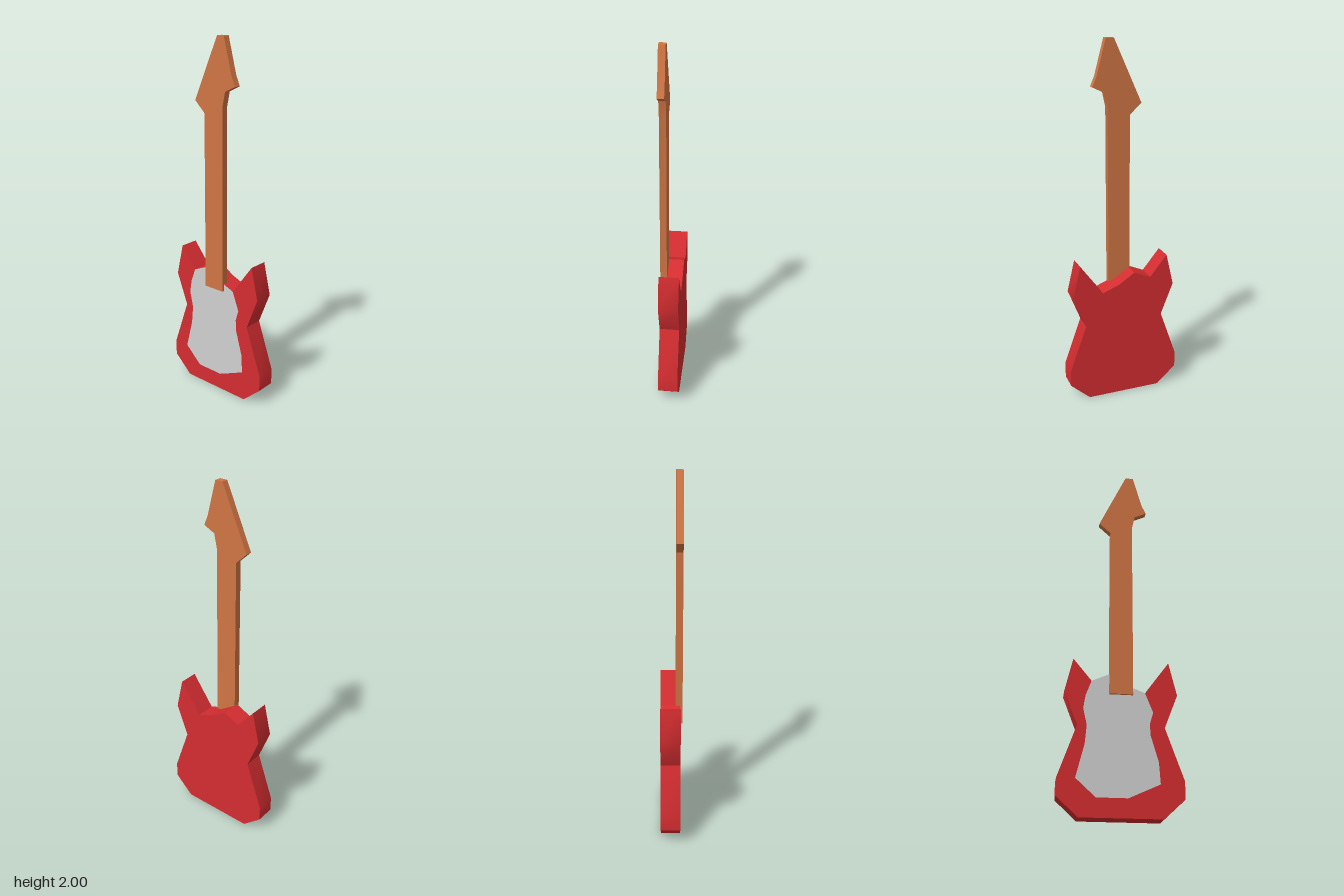
import * as THREE from 'three';
import { toCreasedNormals } from 'three/addons/utils/BufferGeometryUtils.js';

const paint = (name, color) => {
  const m = new THREE.MeshStandardMaterial({ color });
  m.name = name;
  return m;
};

const outline = (points) => new THREE.Shape(points.map(([x, y]) => new THREE.Vector2(x, y)));

// Extrudes an outline between two depths, softening only shallow corners
function slab(name, points, back, front, material) {
  const geo = new THREE.ExtrudeGeometry(outline(points), { depth: front - back, bevelEnabled: false });
  geo.translate(0, 0, back);
  const mesh = new THREE.Mesh(toCreasedNormals(geo, THREE.MathUtils.degToRad(38)), material);
  mesh.name = name;
  return mesh;
}

export function createModel() {
  const red = paint('red lacquer', 0xd42d30);
  const wood = paint('orange wood', 0xd07544);
  const grey = paint('light grey', 0xd0d0d0);

  const group = new THREE.Group();
  group.name = 'electricGuitar';

  // Body: the flanks and horns mirror each other, the neck joint is lopsided
  const flank = [[0.21, 0], [0.32, 0.1], [0.32, 0.19], [0.225, 0.46], [0.295, 0.64], [0.253, 0.82]];
  const joint = [[0.125, 0.645], [0.03, 0.682], [-0.06, 0.742], [-0.155, 0.7]];
  const mirrored = flank.map(([x, y]) => [-x, y]).reverse();
  group.add(slab('body', [...flank, ...joint, ...mirrored], -0.062, 0.047, red));

  // Pickguard: a flat face on the front of the body
  const guard = [
    ...joint, [-0.185, 0.62], [-0.196, 0.55], [-0.176, 0.46], [-0.185, 0.36], [-0.228, 0.19],
    [-0.125, 0.097], [0.035, 0.097], [0.197, 0.17], [0.19, 0.28], [0.15, 0.42], [0.148, 0.48],
    [0.166, 0.54],
  ];
  const pickguard = new THREE.Mesh(new THREE.ShapeGeometry(outline(guard)), grey);
  pickguard.position.z = 0.0485;
  pickguard.name = 'pickguard';
  group.add(pickguard);

  // Neck and pointed headstock in one piece
  const neck = [
    [-0.063, 0.63], [0.061, 0.63], [0.061, 1.65], [0.078, 1.727], [0.143, 1.758], [0.12, 1.81],
    [0.069, 2], [0.025, 2], [-0.127, 1.665], [-0.063, 1.605],
  ];
  group.add(slab('neckAndHeadstock', neck, 0.024, 0.061, wood));

  return group;
}
